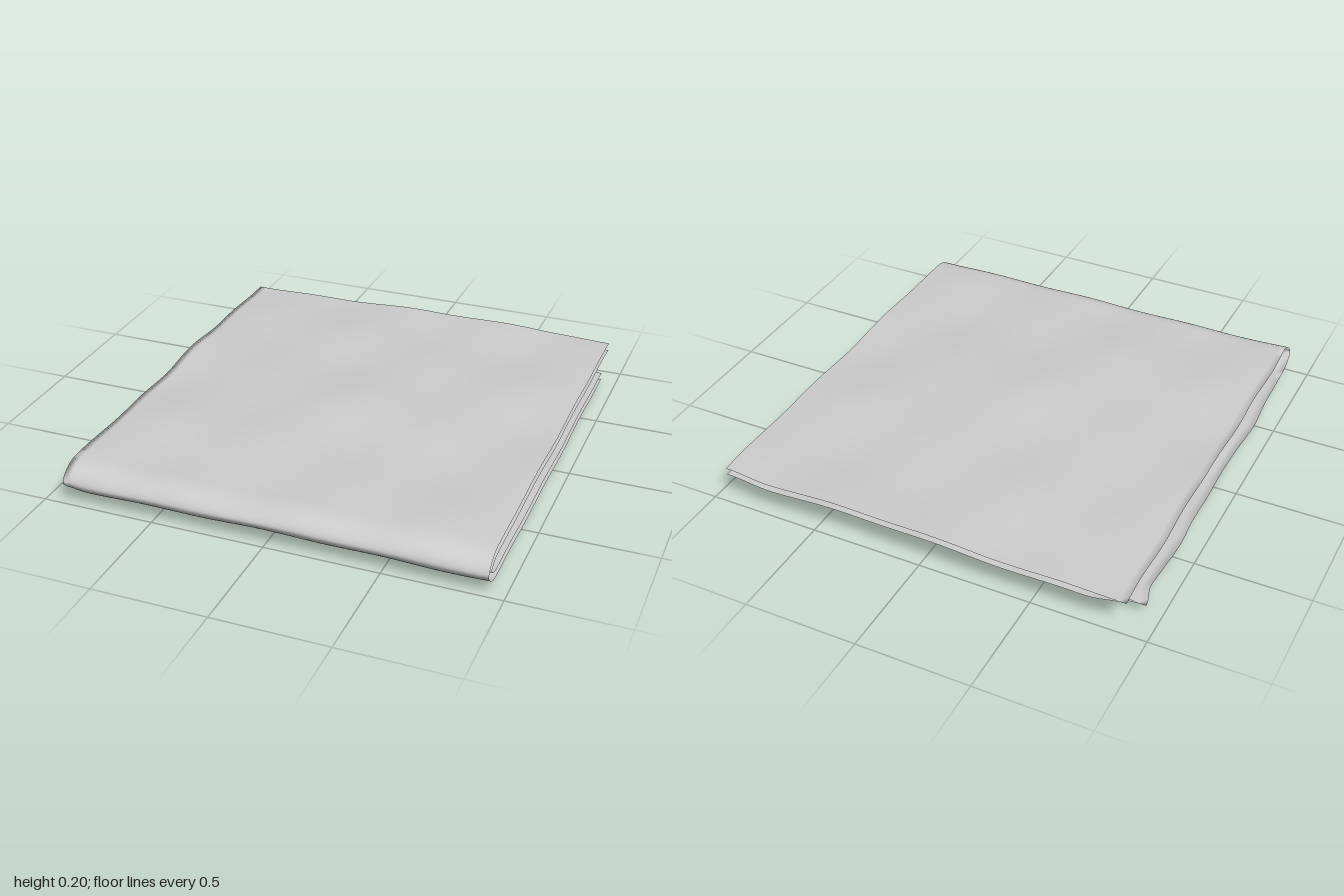
import * as THREE from 'three';

const EDGE = 0.937;       // open side, x
const CREASE = -0.905;    // creased side, x
const HALF = 0.017;       // half the gap between the two layers of a stack
const FOLD_Z = 0.885;     // where the front fold starts to turn, z
const BACK = -0.992, BACK_LOW = -0.86; // hems of the upper and lower stack, z
const UP = 0.163, LOW = 0.067;
const MID = (UP + LOW) / 2, R = (UP - LOW) / 2;
const { sin, cos, abs, sign, PI, exp } = Math;
const { lerp, smoothstep } = THREE.MathUtils;

// Section across the cloth: outer layer to the crease, inner layer back, rising to meet it there
function section(u) {
  if (u <= 0.5) return { x: lerp(EDGE, CREASE, u / 0.5), o: HALF, inner: 0 };
  const x = lerp(CREASE, EDGE, (u - 0.5) / 0.5);
  const inner = smoothstep(x - CREASE, 0, 0.18);
  return { x, o: HALF * (1 - 2 * inner), inner };
}

// Path from the upper back hem, round the blunt wedge of the front fold, to the lower back hem
function path(v) {
  if (v < 0.42) return { z: lerp(BACK, FOLD_Z, v / 0.42), y: UP, a: 0 };
  if (v > 0.58) return { z: lerp(FOLD_Z, BACK_LOW, (v - 0.58) / 0.42), y: LOW, a: PI };
  const a = (v - 0.42) / 0.16 * PI, c = cos(a);
  return { z: FOLD_Z + 0.098 * sin(a), y: MID + R * sign(c) * abs(c) ** 1.4, a };
}

// Soft ripples of the cloth
const ripple = (x, z, p) =>
  0.004 * sin(4 * x + 6 * z + p) + 0.004 * sin(11 * z - 3 * x + 1.7 * p) + 0.003 * sin(12 * x + 5 * z + 2.3 * p);

function clothGeometry() {
  const geo = new THREE.PlaneGeometry(1, 1, 120, 120);
  const pos = geo.attributes.position, uv = geo.attributes.uv;
  for (let i = 0; i < pos.count; i++) {
    const s = section(uv.getX(i)), p = path(uv.getY(i));
    const lower = (1 - cos(p.a)) / 2;            // 0 upper stack, 1 lower stack
    let { x } = s;
    let z = p.z + s.o * sin(p.a);
    let y = p.y + s.o * cos(p.a);
    // Waves, a little different in the two stacks, with both bulging at the middle
    const hill = 0.03 * exp(-2 * (x * x + z * z));
    y += (1 - lower) * (ripple(x, z, 0.6) + hill) + lower * (ripple(x, z, 1.5) - hill);
    // Uneven crease, pushed out and lifted a little on the lower stack
    const side = smoothstep(-x, 0.8, 0.905);
    x += side * (0.003 * sin(14 * z + 1) - lower * (0.004 + 0.018 * abs(sin(3.5 * z)) ** 8));
    x -= side * lower * 0.032 * smoothstep(-z, 0.74, 0.86);
    y += side * lower * 0.012;
    // Slightly uneven back hem with a rounded corner
    const back = smoothstep(-z, 0.7, 0.99);
    z += back * (0.002 * sin(6 * x) - 0.004 + 0.016 * smoothstep(x, 0.7, 0.94) + 0.004 * s.inner);
    pos.setXYZ(i, x, y, z);
  }
  geo.computeVertexNormals();
  geo.computeBoundingBox();
  geo.translate(0, -geo.boundingBox.min.y, 0);
  return geo;
}

export function createModel() {
  const group = new THREE.Group();
  group.name = 'foldedCloth';
  const material = new THREE.MeshStandardMaterial({ color: 0xcccccc, side: THREE.DoubleSide });
  // One sheet folded in half sideways, then doubled over at the front
  const cloth = new THREE.Mesh(clothGeometry(), material);
  cloth.name = 'clothSheet';
  group.add(cloth);
  return group;
}
